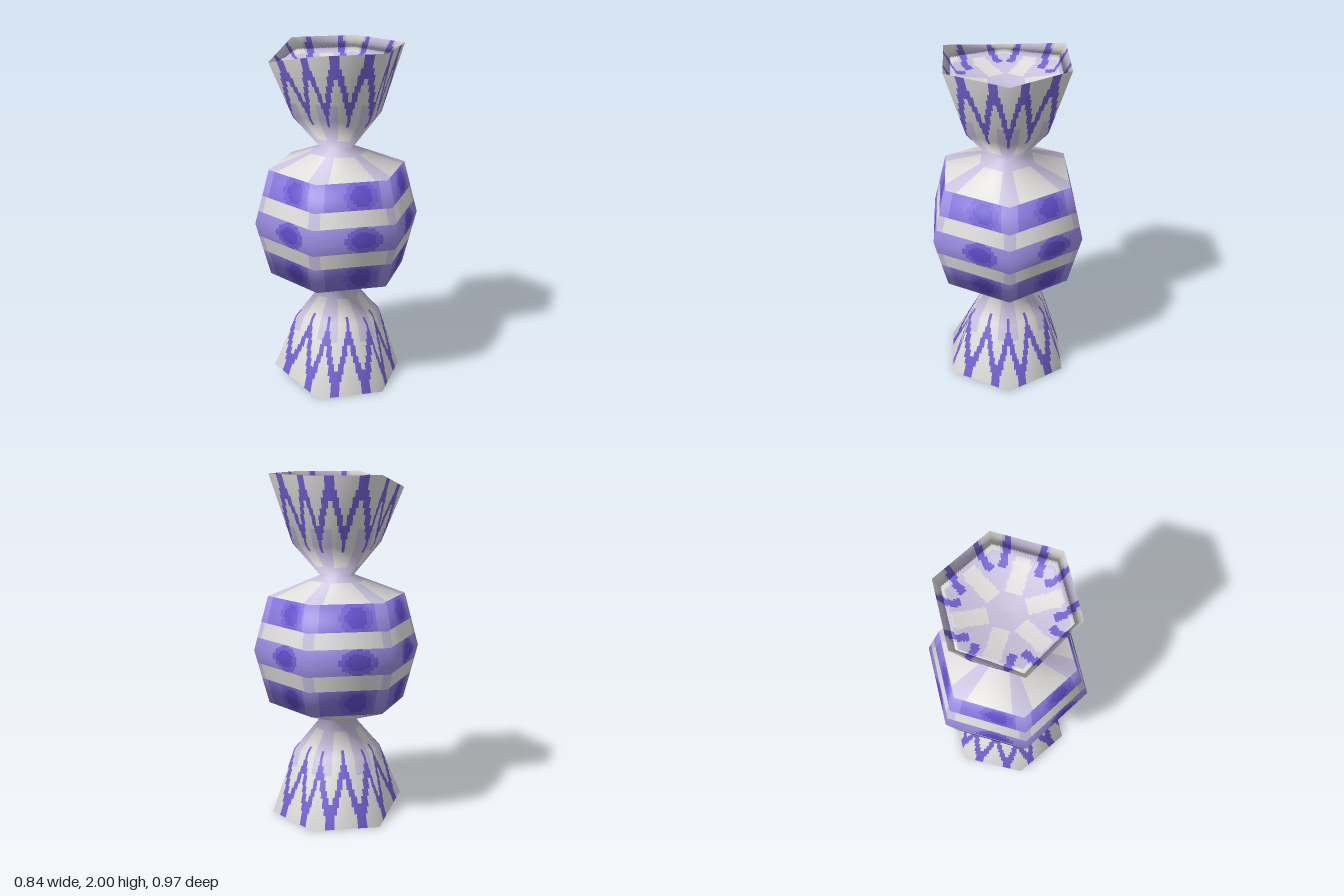
import * as THREE from 'three';

const PALETTE = {
  paperWhite: 0xdedcdb,
  paleLavender: 0xc9c2de,
  softViolet: 0x9a8ce0,
  midViolet: 0x8474d8,
  violet: 0x7562d2,
  deepViolet: 0x604cc6,
};
const SIDES = 6;
const DIPPED = 5; // the corner where the wrapper ends sag

// Wrapper end from the neck over the rim to the hollow inside
const endRings = (s) => [
  { y: 1 + s * 0.425, r: 0.1, frontR: 0.08 },
  { y: 1 + s * 0.61, r: 0.257, frontR: 0.182 },
  { y: 1 + s, r: 0.388, dip: -0.08 * s },
  { y: 1 + s * 0.88, r: 0.31 },
  { y: 1 + s * 0.85, r: 0 },
];

// Whole profile from bottom to top, with rings on the band edges of the sweet
const RINGS = [
  ...endRings(-1).reverse(),
  { y: 0.68, r: 0.4 },
  { y: 0.83, r: 0.441 },
  { y: 0.92, r: 0.465 },
  { y: 0.995, r: 0.485 },
  { y: 1.07, r: 0.465 },
  { y: 1.16, r: 0.441 },
  { y: 1.31, r: 0.4 },
  ...endRings(1),
];

// Corner k of a hexagonal ring; corner 0 points to the front
function corner(ring, k) {
  const i = k % SIDES;
  const a = (i * Math.PI) / 3;
  const r = i === 0 && ring.frontR ? ring.frontR : ring.r;
  const y = ring.y + (i === DIPPED ? ring.dip || 0 : 0);
  return new THREE.Vector3(Math.sin(a) * r, y, Math.cos(a) * r);
}

// Smooth normal of a ring corner, from the slope of the profile around it
function cornerNormal(j, k) {
  const lo = RINGS[Math.max(j - 1, 0)];
  const hi = RINGS[Math.min(j + 1, RINGS.length - 1)];
  const a = (k * Math.PI) / 3;
  const n = new THREE.Vector2(hi.y - lo.y, lo.r - hi.r).normalize();
  return new THREE.Vector3(Math.sin(a) * n.x, n.y, Math.cos(a) * n.x);
}

function blend(q, u, v) {
  const low = q[0].clone().lerp(q[1], u);
  return low.lerp(q[3].clone().lerp(q[2], u), v);
}

// Skin the rings from first to last with small cells coloured by paint(u, y, r)
function hexSkin(name, first, last, nu, nv, paint, materials) {
  const names = Object.keys(PALETTE);
  const buckets = names.map(() => ({ pos: [], nor: [] }));
  for (let j = first; j < last; j++) {
    for (let k = 0; k < SIDES; k++) {
      const p = [[j, k], [j, k + 1], [j + 1, k + 1], [j + 1, k]];
      const points = p.map(([r, c]) => corner(RINGS[r], c));
      const normals = p.map(([r, c]) => cornerNormal(r, c));
      for (let a = 0; a < nu; a++) {
        for (let b = 0; b < nv; b++) {
          const mid = (b + 0.5) / nv;
          const y = THREE.MathUtils.lerp(RINGS[j].y, RINGS[j + 1].y, mid);
          const r = THREE.MathUtils.lerp(RINGS[j].r, RINGS[j + 1].r, mid);
          const bucket = buckets[names.indexOf(paint((a + 0.5) / nu, y, r))];
          for (const [du, dv] of [[0, 0], [1, 0], [1, 1], [0, 0], [1, 1], [0, 1]]) {
            const u = (a + du) / nu, v = (b + dv) / nv;
            bucket.pos.push(...blend(points, u, v).toArray());
            bucket.nor.push(...blend(normals, u, v).normalize().toArray());
          }
        }
      }
    }
  }
  const geometry = new THREE.BufferGeometry();
  let start = 0;
  buckets.forEach((b, i) => {
    geometry.addGroup(start, b.pos.length / 3, i);
    start += b.pos.length / 3;
  });
  const join = (key) => new THREE.Float32BufferAttribute(buckets.flatMap((b) => b[key]), 3);
  geometry.setAttribute('position', join('pos'));
  geometry.setAttribute('normal', join('nor'));
  const mesh = new THREE.Mesh(geometry, names.map((n) => materials[n]));
  mesh.name = name;
  return mesh;
}

// Sweet: three violet bands with a darker round spot on every side
function paintSweet(u, y) {
  const h = Math.abs(y - 0.995);
  const edge = Math.abs(u - 0.5);
  const middle = h < 0.075;
  if (middle || (h > 0.165 && h < 0.315)) {
    const spot = Math.hypot((u - 0.61) / 0.14, (h - (middle ? 0 : 0.24)) / (middle ? 0.045 : 0.058));
    if (spot < 1) return 'deepViolet';
    if (spot < 1.6) return 'violet';
    if (edge > 0.38) return 'softViolet';
    return middle ? 'softViolet' : 'midViolet';
  }
  if (h > 0.315) return edge > 0.34 || h > 0.4 ? 'paleLavender' : 'paperWhite';
  return edge > 0.4 ? 'paleLavender' : 'paperWhite';
}

// Wrapper ends: two forked streaks per side, starting at the rim
function paintTwist(u, y) {
  const t = (Math.abs(y - 1) - 0.425) / 0.575; // 0 at the neck, 1 at the rim
  const d = Math.abs(((u * 2) % 1) - 0.5);
  const fork = THREE.MathUtils.clamp((0.95 - t) / 0.58, 0, 1) * 0.5;
  const width = 0.1 * THREE.MathUtils.smoothstep(t, 0.15, 0.45) + 0.02 * t;
  if (t > 0.2 && Math.abs(d - fork) < width) return 'violet';
  return t > 0.5 || (t > 0.1 && Math.abs(u - 0.5) < 0.25) ? 'paperWhite' : 'paleLavender';
}

// Hollow inside: two short bars per side and a pale star
function paintHollow(u, y, r) {
  const side = Math.abs(u - 0.5) * r;
  if (r > 0.25 && Math.abs(side - 0.095) < 0.02) return 'violet';
  const star = r > 0.11 && r < 0.33 && side < 0.045;
  return star || (r > 0.33 && side > 0.13) ? 'paperWhite' : 'paleLavender';
}

export function createModel() {
  const model = new THREE.Group();
  model.name = 'wrappedSweet';
  const materials = {};
  for (const [name, color] of Object.entries(PALETTE)) {
    materials[name] = new THREE.MeshStandardMaterial({ color });
    materials[name].name = name;
  }
  model.add(
    hexSkin('bottomHollow', 0, 2, 24, 16, paintHollow, materials),
    hexSkin('bottomTwist', 2, 4, 28, 20, paintTwist, materials),
    hexSkin('sweetBody', 4, 12, 24, 8, paintSweet, materials),
    hexSkin('topTwist', 12, 14, 28, 20, paintTwist, materials),
    hexSkin('topHollow', 14, 16, 24, 16, paintHollow, materials),
  );
  return model;
}
